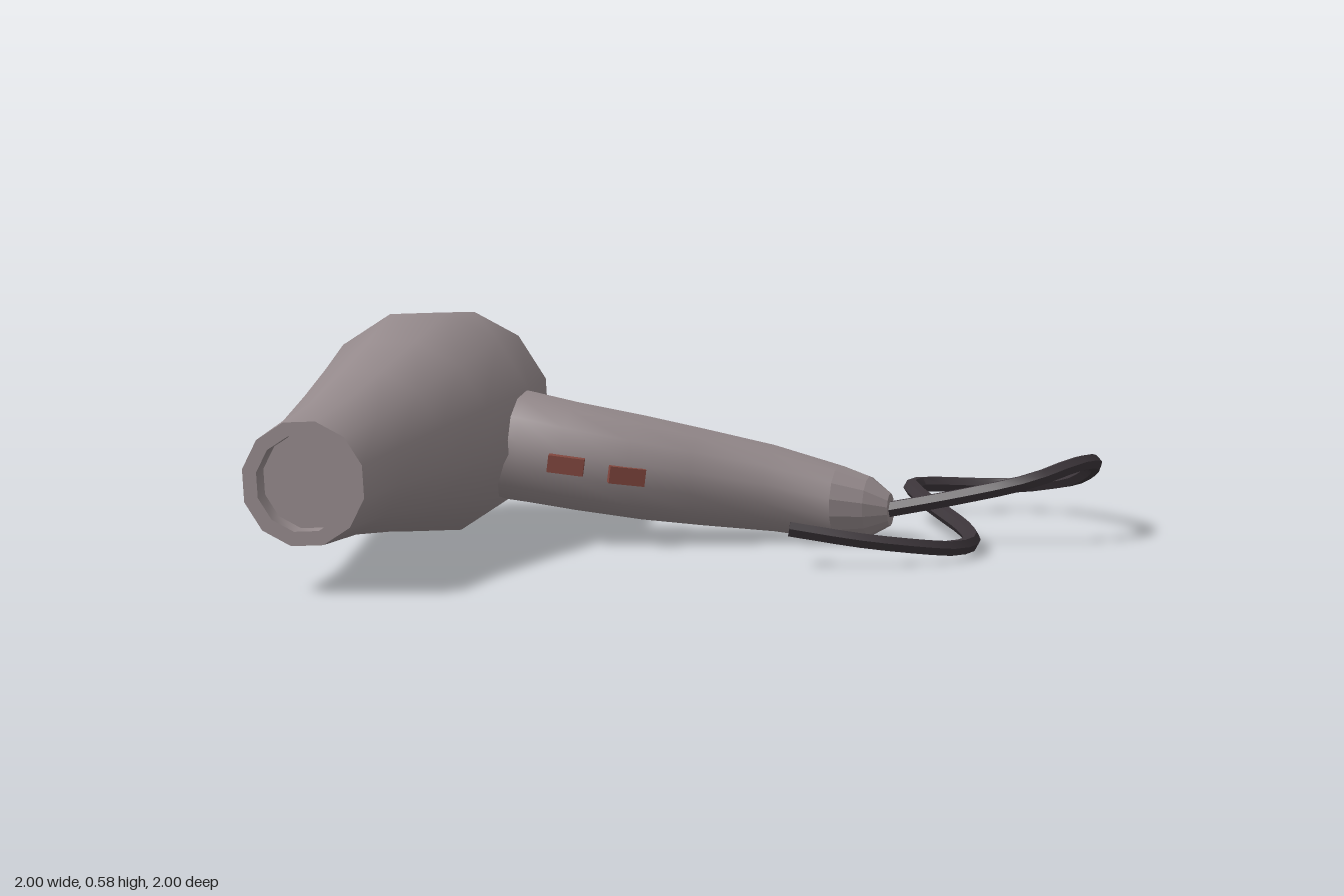
import * as THREE from 'three';
import { toCreasedNormals } from 'three/addons/utils/BufferGeometryUtils.js';

const mat = (name, color, side = THREE.FrontSide) => {
  const m = new THREE.MeshStandardMaterial({ color, side });
  m.name = name;
  return m;
};

// Lathe about the z axis; profile is [radius, z] from back to front
function latheZ(profile, crease) {
  const pts = profile.map(([r, z]) => new THREE.Vector2(r, z));
  const g = new THREE.LatheGeometry(pts, 12, THREE.MathUtils.degToRad(19));
  g.rotateX(Math.PI / 2);
  return toCreasedNormals(g, crease);
}

// Skin elliptical sections [x, y, z, ry, rz] along x, closed at the far end
function loft(sections, sides, crease) {
  const pos = [], idx = [];
  for (const [x, y, z, ry, rz] of sections) {
    for (let j = 0; j < sides; j++) {
      const t = (j / sides) * Math.PI * 2;
      pos.push(x, y + Math.cos(t) * ry, z + Math.sin(t) * rz);
    }
  }
  const last = sections.length - 1;
  for (let j = 0; j < sides; j++) {
    const k = (j + 1) % sides;
    for (let i = 0; i < last; i++) {
      const a = i * sides + j, b = i * sides + k;
      idx.push(a, b, b + sides, a, b + sides, a + sides);
    }
    idx.push((last + 1) * sides, last * sides + j, last * sides + k);
  }
  pos.push(...sections[last].slice(0, 3));
  const g = new THREE.BufferGeometry();
  g.setAttribute('position', new THREE.Float32BufferAttribute(pos, 3));
  g.setIndex(idx);
  return toCreasedNormals(g, crease);
}

export function createModel() {
  const model = new THREE.Group();
  model.name = 'hairDryer';
  const shell = mat('warmGreyPlastic', 0x958a8c);
  const black = mat('darkCord', 0x3d363b);
  const red = mat('dullRedSwitch', 0x84483f);

  const add = (name, geometry, material, parent = model) => {
    const m = new THREE.Mesh(geometry, material);
    m.name = name;
    parent.add(m);
    return m;
  };

  // Barrel: smooth tapering body with recessed outlet, faceted rear cap
  const barrel = new THREE.Group();
  barrel.name = 'barrel';
  barrel.position.set(-0.71, 0.305, 0);
  model.add(barrel);
  add('barrelBody', latheZ([
    [0.255, -0.48], [0.297, -0.18], [0.257, 0.1], [0.218, 0.4], [0.183, 0.7],
    [0.169, 1], [0.13, 1], [0.13, 0.93], [0, 0.93],
  ], 0.6), shell, barrel);
  add('rearCap', latheZ([
    [0, -0.615], [0.112, -0.615], [0.195, -0.547], [0.255, -0.48],
  ], 0.1), shell, barrel);

  // Handle: curved grip and faceted tip
  const neck = [0.37, 0.113, -0.333, 0.1, 0.102];
  add('handle', loft([
    [-0.55, 0.268, -0.165, 0.148, 0.145],
    [-0.42, 0.253, -0.165, 0.147, 0.146],
    [-0.3, 0.232, -0.176, 0.143, 0.148],
    [-0.13, 0.205, -0.205, 0.138, 0.148],
    [0.02, 0.178, -0.258, 0.128, 0.13],
    [0.2, 0.148, -0.31, 0.114, 0.112],
    neck,
  ], 14, 0.6), shell);
  add('handleTip', loft([
    neck,
    [0.45, 0.105, -0.34, 0.08, 0.074],
    [0.508, 0.1, -0.335, 0.043, 0.034],
  ], 14, 0.1), shell);

  // Two slide switches on the front of the handle
  for (const [x, y, z, turn] of [[-0.285, 0.23, -0.022, 0.2], [-0.132, 0.202, -0.062, 0.42]]) {
    const s = add('switch', new THREE.BoxGeometry(0.095, 0.045, 0.04), red);
    s.position.set(x, y, z);
    s.rotation.set(0, turn, -0.12);
  }

  // Cord: looping six-sided tube with closed end
  const path = [
    [0.48, 0.095, -0.335], [0.7, 0.14, -0.36], [0.87, 0.18, -0.4], [0.96, 0.212, -0.5],
    [0.978, 0.207, -0.6], [0.945, 0.175, -0.73], [0.86, 0.125, -0.87], [0.78, 0.1, -0.95],
    [0.7, 0.085, -0.977], [0.62, 0.08, -0.965], [0.47, 0.09, -0.88], [0.435, 0.095, -0.81],
    [0.48, 0.09, -0.7], [0.6, 0.075, -0.5], [0.7, 0.055, -0.36], [0.75, 0.045, -0.26],
    [0.77, 0.042, -0.17], [0.75, 0.045, -0.06], [0.68, 0.06, 0.03], [0.55, 0.08, 0.1],
    [0.37, 0.11, 0.15],
  ].map((p) => new THREE.Vector3(...p));
  const curve = new THREE.CatmullRomCurve3(path);
  add('cord', toCreasedNormals(new THREE.TubeGeometry(curve, 44, 0.022, 6), 0.5), black);
  const end = add('cordEnd', new THREE.CircleGeometry(0.022, 6), black);
  end.position.copy(curve.getPoint(1));
  end.lookAt(curve.getPoint(1).add(curve.getTangent(1)));

  return model;
}
